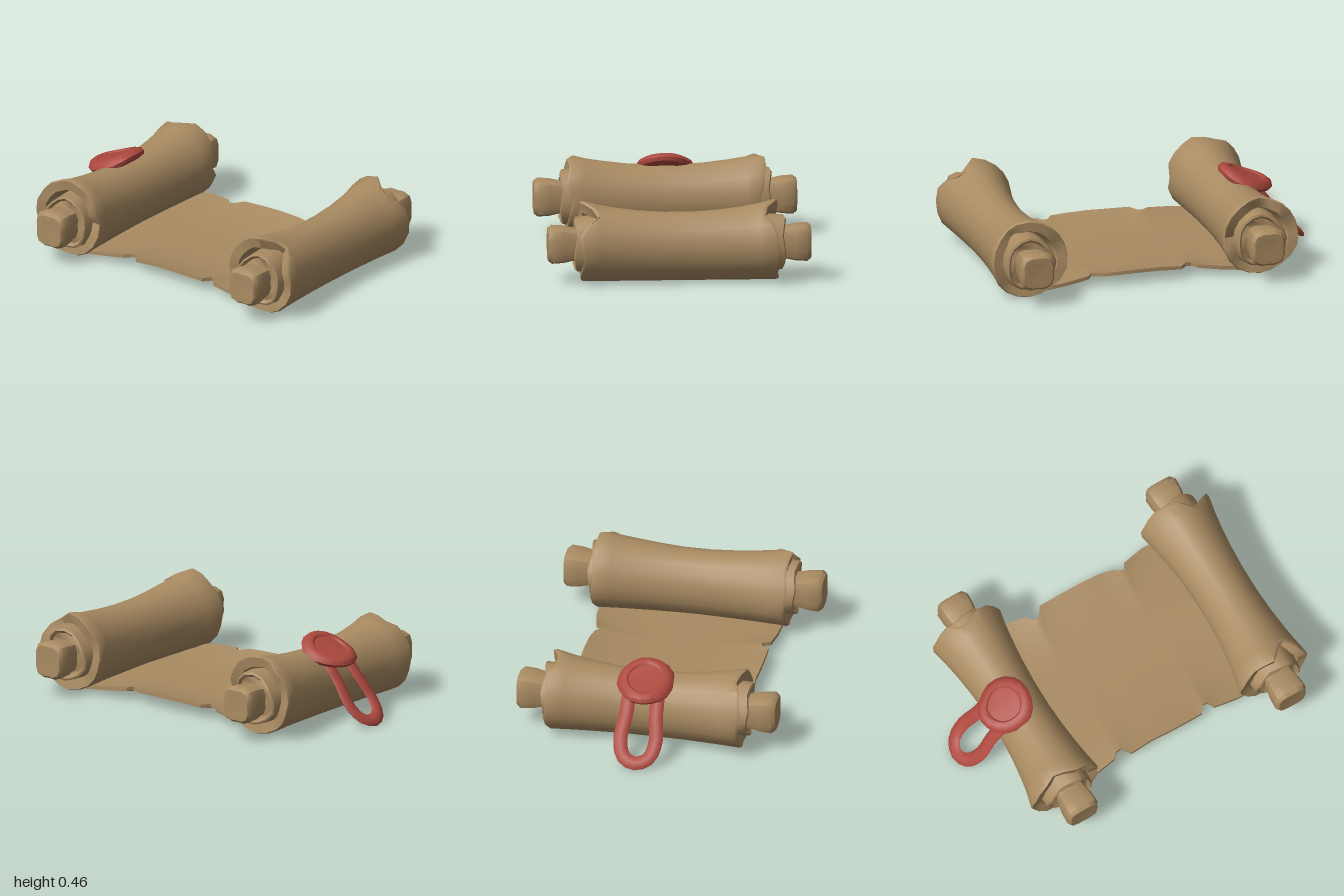
import * as THREE from 'three';
import { toCreasedNormals } from 'three/addons/utils/BufferGeometryUtils.js';

const parchment = new THREE.MeshStandardMaterial({ color: 0xa98b62 });
parchment.name = 'parchment';
const wax = new THREE.MeshStandardMaterial({ color: 0xac483e });
wax.name = 'sealing wax';

// Skin a list of equal-length closed rings of [x, y, z] points.
function loft(rings, crease = 0.7, closed = false) {
  const n = rings[0].length, index = [];
  const spans = closed ? rings.length : rings.length - 1;
  for (let i = 0; i < spans; i++) {
    const k = (i + 1) % rings.length;
    for (let j = 0; j < n; j++) {
      const m = (j + 1) % n;
      const a = i * n + j, b = i * n + m, c = k * n + j, d = k * n + m;
      index.push(a, b, c, b, d, c);
    }
  }
  const g = new THREE.BufferGeometry();
  g.setAttribute('position', new THREE.Float32BufferAttribute(rings.flat(2), 3));
  g.setIndex(index);
  return toCreasedNormals(g, crease);
}

function part(name, geometry, material) {
  const mesh = new THREE.Mesh(geometry, material);
  mesh.name = name;
  return mesh;
}

// Ring around the x axis; fn(angle, index) gives [x, radiusY, radiusZ].
function ring(sides, cy, cz, fn) {
  return Array.from({ length: sides }, (_, j) => {
    const a = (j / sides) * Math.PI * 2;
    const [x, ry, rz] = fn(a, j);
    return [x, cy + ry * Math.cos(a), cz + rz * Math.sin(a)];
  });
}

// Hollow, waisted wrap with torn, uneven ends.
function wrapGeometry(cz, notch) {
  const sides = 20;
  const at = (x, scale, lip) => {
    const f = Math.min(1, Math.abs(x) / 0.55) ** 2;
    const ry = 0.194 + 0.032 * f, rz = 0.162 + 0.06 * f;
    return ring(sides, 0.004 + ry, cz - 0.008 * f, (a, j) => {
      const torn = notch[j] || 0;
      const s = scale * (1 + 0.022 * f * Math.sin(3 * a + 1)) - torn * 1.4 * f * f;
      const ragged = lip ? torn + 0.008 * (1 + Math.sin(5 * a + x * 3)) : 0;
      return [x - Math.sign(x) * ragged, ry * s, rz * s];
    });
  };
  return loft([
    at(-0.42, 0.64, false), at(-0.55, 0.72, true), at(-0.56, 0.97, true),
    at(-0.545, 1, true),
    ...[-0.45, -0.35, -0.22, -0.08, 0.08, 0.22, 0.35, 0.45].map((x) => at(x, 1, false)),
    at(0.545, 1, true), at(0.56, 0.97, true), at(0.55, 0.72, true), at(0.42, 0.64, false),
  ], 0.8);
}

// Inner paper core with a lobed knob on either end, as one long rod.
function rodGeometry(cz) {
  const knob = [[0.728, 0], [0.738, 0.06], [0.737, 0.095], [0.715, 0.112],
    [0.65, 0.108], [0.6, 0.097], [0.575, 0.095]];
  const core = [[0.572, 0.125], [0.588, 0.14], [0.582, 0.152], [0.5, 0.158]];
  const half = [
    ...knob.map(([x, r]) => ({ x, r, lobe: 0.1 })),
    ...core.map(([x, r]) => ({ x, r, lobe: 0 })),
  ];
  const section = (side) => ({ x, r, lobe }) => ring(16, 0.216, cz, (a) => {
    const s = 1 - lobe * Math.cos(4 * a) + (lobe ? 0 : 0.06 * Math.sin(3 * a + 0.6));
    return [side * (x + (lobe || r > 0.157 ? 0 : 0.008 * Math.sin(4 * a))), r * s, r * s * 0.95];
  });
  return loft([...half.map(section(-1)), ...half.slice().reverse().map(section(1))], 0.75);
}

function roll(name, cz, notch) {
  const g = new THREE.Group();
  g.name = name;
  g.add(part('rolledWrap', wrapGeometry(cz, notch), parchment));
  g.add(part('coreAndKnobs', rodGeometry(cz), parchment));
  return g;
}

// Flat sheet between the rolls, edges torn and slightly curled up.
function sheetGeometry() {
  // z, right edge (-x), left edge (+x)
  const rows = [
    [-0.6, 0.52, 0.52], [-0.36, 0.51, 0.52], [-0.23, 0.49, 0.488], [-0.2, 0.46, 0.45],
    [-0.165, 0.455, 0.455], [-0.13, 0.51, 0.505], [0, 0.502, 0.505], [0.12, 0.508, 0.505],
    [0.25, 0.508, 0.5], [0.33, 0.505, 0.485], [0.36, 0.46, 0.462], [0.39, 0.465, 0.455],
    [0.41, 0.505, 0.49], [0.54, 0.52, 0.518], [0.78, 0.52, 0.52],
  ];
  const cols = [-1, -0.85, -0.6, -0.3, 0, 0.3, 0.6, 0.85, 1];
  return loft(rows.map(([z, right, left]) => {
    const mid = Math.max(0, Math.cos(((z - 0.09) / 0.7) * Math.PI / 2));
    const line = (thick) => cols.map((t) => [
      t * (t < 0 ? right : left),
      0.012 + 0.058 * mid * Math.abs(t) ** 2.5 + thick * (1 - 0.35 * Math.abs(t)),
      z,
    ]);
    return [...line(0), ...line(0.032).reverse()];
  }), 0.6);
}

// Dished wax disc lying on the back slope of the rear roll.
function sealGeometry() {
  const profile = [[0, -0.03], [0.12, -0.03], [0.155, -0.012], [0.163, 0.008], [0.15, 0.028],
    [0.125, 0.036], [0.105, 0.034], [0.095, 0.024], [0, 0.022]];
  const g = new THREE.LatheGeometry(profile.map(([x, y]) => new THREE.Vector2(x, y)), 18);
  const p = g.attributes.position;
  for (let i = 0; i < p.count; i++) {
    const a = Math.atan2(p.getZ(i), p.getX(i));
    const s = 1 + 0.02 * Math.sin(3 * a + 0.5) + 0.012 * Math.cos(5 * a);
    // the disc sags a little over the roll towards its sides
    p.setXYZ(i, p.getX(i) * s, p.getY(i) - 0.9 * p.getX(i) ** 2, p.getZ(i) * s);
  }
  return toCreasedNormals(g, 0.7);
}

// Flattened loop hanging behind the seal.
function loopGeometry() {
  const side = [[0.07, 0.34, -0.7], [0.085, 0.235, -0.79], [0.1, 0.125, -0.875], [0.07, 0.055, -0.94]];
  const pts = [[0, 0.36, -0.68], ...side, [0, 0.033, -0.966],
    ...side.slice().reverse().map(([x, y, z]) => [-x, y, z])];
  const curve = new THREE.CatmullRomCurve3(pts.map((p) => new THREE.Vector3(...p)), true);
  const normal = new THREE.Vector3(0, 0.7, -0.7).normalize();
  const steps = 28, rings = [];
  for (let i = 0; i < steps; i++) {
    const c = curve.getPointAt(i / steps);
    const across = new THREE.Vector3().crossVectors(curve.getTangentAt(i / steps), normal).normalize();
    rings.push(Array.from({ length: 8 }, (_, j) => {
      const a = (j / 8) * Math.PI * 2;
      return c.clone().addScaledVector(normal, 0.016 * Math.cos(a))
        .addScaledVector(across, -0.04 * Math.sin(a)).toArray();
    }));
  }
  // rings must turn the right way round the path
  rings.forEach((r) => r.reverse());
  const g = loft(rings, 0.9, true);
  return g;
}

export function createModel() {
  const model = new THREE.Group();
  model.name = 'scroll';
  model.add(part('sheet', sheetGeometry(), parchment));
  model.add(roll('frontRoll', 0.78, { 1: 0.06, 2: 0.08, 3: 0.03 }));
  model.add(roll('backRoll', -0.57, { 0: 0.03, 19: 0.035, 5: 0.03 }));

  const seal = part('seal', sealGeometry(), wax);
  seal.position.set(0, 0.385, -0.65);
  seal.rotation.x = -0.38;
  model.add(seal);

  // Double-sided so the thin loop reads from every direction
  const loop = part('sealLoop', loopGeometry(), wax);
  model.add(loop);
  return model;
}
